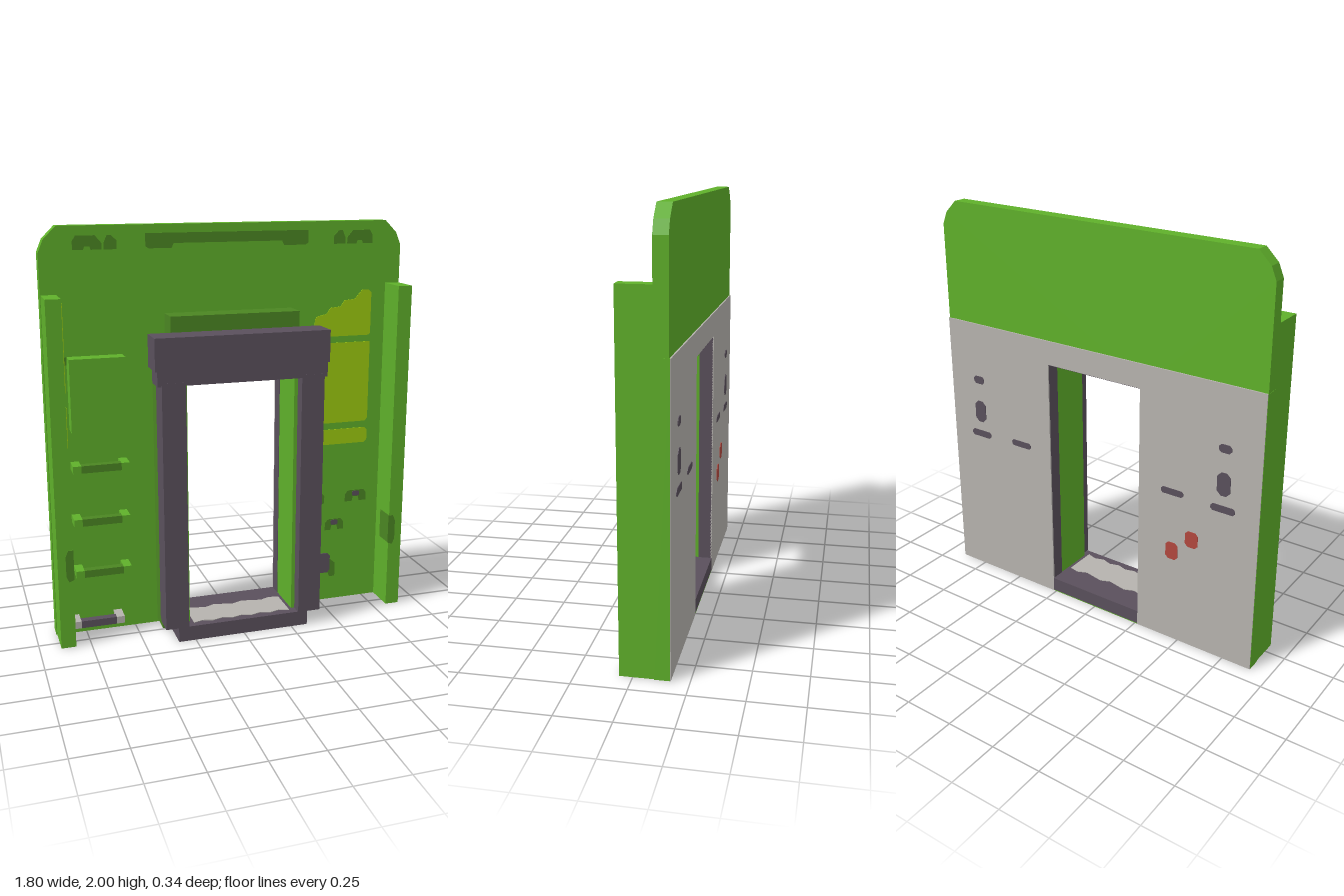
import * as THREE from 'three';

const mat = (name, color) => {
  const m = new THREE.MeshStandardMaterial({ color });
  m.name = name;
  return m;
};

export function createModel() {
  const root = new THREE.Group();
  root.name = 'doorwayWall';
  const green = mat('bright green', 0x5fb02a);
  const dark = mat('dark green', 0x4b8622);
  const slate = mat('slate purple', 0x5a505c);
  const grey = mat('light grey', 0xb6b3ae);
  const lime = mat('lime yellow', 0x9dcb10);
  const red = mat('red', 0xb2483e);

  const add = (name, geo, m) => {
    const mesh = new THREE.Mesh(geo, m);
    mesh.name = name;
    root.add(mesh);
    return mesh;
  };
  // box given by its limits on each axis
  const box = (name, m, x0, x1, y0, y1, z0, z1) =>
    add(name, new THREE.BoxGeometry(x1 - x0, y1 - y0, z1 - z0), m)
      .position.set((x0 + x1) / 2, (y0 + y1) / 2, (z0 + z1) / 2);
  // outline in x, y extruded from z0 to z1
  const slab = (name, m, pts, z0, z1) => {
    const shape = new THREE.Shape(pts.map(p => new THREE.Vector2(p[0], p[1])));
    add(name, new THREE.ExtrudeGeometry(shape, { depth: z1 - z0, bevelEnabled: false }), m).position.z = z0;
  };
  // rectangle outline with clipped corners
  const clipped = (x0, x1, y0, y1, c) => [
    [x0 + c, y0], [x1 - c, y0], [x1, y0 + c], [x1, y1 - c],
    [x1 - c, y1], [x0 + c, y1], [x0, y1 - c], [x0, y0 + c]];
  const FRONT = -0.095, BACK = -0.16;
  const decal = (name, m, pts, lift = 0) => slab(name, m, pts, FRONT - 0.001, FRONT + 0.003 + lift);
  const flip = pts => pts.map(([x, y]) => [-x, y]).reverse();

  // main wall with chamfered top corners and a door notch
  slab('wallPanel', green, [
    [0.285, 0], [0.9, 0], [0.9, 1.88], [0.875, 1.94], [0.815, 2],
    [-0.815, 2], [-0.875, 1.94], [-0.9, 1.88], [-0.9, 0], [-0.285, 0],
    [-0.285, 1.3], [0.285, 1.3]], BACK, FRONT);
  slab('backLining', grey, [
    [0.265, 0], [0.9, 0], [0.9, 1.4], [-0.9, 1.4], [-0.9, 0], [-0.265, 0],
    [-0.265, 1.28], [0.265, 1.28]], -0.167, BACK);
  box('wallFoot', green, -0.285, 0.285, 0, 0.004, -0.166, FRONT);

  for (const s of [-1, 1]) {
    const b = (name, m, a, c, ...r) => box(name, m, Math.min(s * a, s * c), Math.max(s * a, s * c), ...r);
    // side walls
    b('sideWall', green, 0.825, 0.897, 0, 1.69, FRONT, 0.06);
    b('sideWallBackEdge', green, 0.88, 0.901, 0, 1.4, -0.164, FRONT);
    const mark = [[0.82, 0.35], [0.845, 0.34], [0.858, 0.37], [0.858, 0.47], [0.845, 0.5], [0.82, 0.5]];
    slab('sideWallMark', dark, s > 0 ? mark : flip(mark), 0.058, 0.063);
    b('sideWallInnerMark', dark, 0.822, 0.826, 0.35, 0.5, -0.04, 0.062);
    // door jambs
    b('doorSurround', dark, 0.284, 0.385, 0.02, 1.33, FRONT, 0.03);
    b('jambLining', green, 0.267, 0.286, 0.075, 1.29, FRONT, 0.11);
    b('jambBackLining', slate, 0.265, 0.286, 0.004, 1.29, -0.166, FRONT);
    b('framePost', slate, 0.285, 0.4, 0.075, 1.3, 0.06, 0.167);
    b('framePostInner', slate, 0.285, 0.395, 0.075, 1.3, 0.025, 0.06);
    // back fittings
    const fit = (x, y, w, h) => slab('backFitting', slate,
      clipped(s * x - w / 2, s * x + w / 2, y - h / 2, y + h / 2, Math.min(w, h) * 0.3), -0.17, -0.166);
    fit(0.716, 1.1, 0.065, 0.04);
    fit(0.716, 0.925, 0.068, 0.115);
    fit(0.716, 0.8, 0.125, 0.035);
    fit(0.45, 0.808, 0.12, 0.032);
    // dark vents along the top
    const vents = [
      [[0.61, 1.89], [0.66, 1.89], [0.665, 1.905], [0.69, 1.905], [0.695, 1.89], [0.745, 1.89],
        [0.745, 1.93], [0.73, 1.955], [0.64, 1.955], [0.61, 1.92]],
      [[0.54, 1.89], [0.6, 1.89], [0.6, 1.92], [0.585, 1.955], [0.565, 1.955], [0.54, 1.93]]];
    for (const v of vents) decal('topVent', dark, s > 0 ? v : flip(v));
  }
  decal('topCentreVent', dark, [
    [-0.405, 1.9], [-0.39, 1.89], [-0.28, 1.89], [-0.27, 1.912], [0.27, 1.912], [0.28, 1.89],
    [0.39, 1.89], [0.405, 1.9], [0.405, 1.96], [-0.405, 1.96]]);

  // door head, lintel and sill
  box('surroundHead', dark, -0.32, 0.32, 1.3, 1.585, FRONT, 0.027);
  box('headLining', green, -0.285, 0.285, 1.28, 1.301, FRONT, 0.11);
  box('headBackLining', slate, -0.285, 0.285, 1.278, 1.301, -0.166, FRONT);
  box('lintelLower', slate, -0.42, 0.415, 1.285, 1.356, 0.06, 0.166);
  box('lintelCore', slate, -0.4, 0.4, 1.285, 1.356, 0.025, 0.06);
  box('lintelUpper', slate, -0.43, 0.425, 1.355, 1.51, 0.025, 0.167);
  box('sillBack', slate, -0.284, 0.284, 0.004, 0.075, -0.166, 0.03);
  box('sillFront', slate, -0.335, 0.335, 0, 0.075, 0.025, 0.162);

  // worn floor patch with a wavy edge
  const wave = [];
  for (let i = 0; i <= 10; i++) wave.push([-0.25 + i * 0.05, -0.13 + (i % 2) * 0.015]);
  for (let i = 10; i >= 0; i--) wave.push([-0.25 + i * 0.05, 0.045 - (i % 3) * 0.01]);
  const patch = new THREE.ExtrudeGeometry(
    new THREE.Shape(wave.map(p => new THREE.Vector2(p[0], p[1]))), { depth: 0.004, bevelEnabled: false });
  patch.rotateX(-Math.PI / 2);
  add('floorPatch', patch, grey).position.y = 0.074;

  // lime windows on the wall
  decal('upperWindow', lime, [
    [0.46, 1.43], [0.74, 1.43], [0.75, 1.44], [0.75, 1.645], [0.735, 1.66], [0.7, 1.66], [0.66, 1.615],
    [0.605, 1.61], [0.585, 1.58], [0.53, 1.575], [0.51, 1.545], [0.46, 1.535], [0.448, 1.52], [0.448, 1.44]]);
  decal('mainWindow', lime, [[0.46, 0.98], [0.735, 0.98], [0.75, 0.995], [0.75, 1.397], [0.448, 1.397], [0.448, 0.995]]);
  decal('lowerWindow', lime, clipped(0.448, 0.75, 0.865, 0.945, 0.014));
  // lime panels on the inside of the right side wall
  box('sideWindowUpper', lime, -0.826, -0.821, 1.26, 1.67, -0.06, 0.05);
  box('sideWindowLower', lime, -0.826, -0.821, 1.0, 1.19, -0.06, 0.05);

  // small hooks: dark shadow plate with slate centre
  for (const [x, y, w] of [[0.466, 0.575, 0.055], [0.698, 0.575, 0.06], [0.58, 0.425, 0.052]]) {
    decal('hookPlate', dark, [
      [x - w, y - 0.03], [x - 0.02, y - 0.03], [x - 0.015, y - 0.005], [x + 0.015, y - 0.005], [x + 0.02, y - 0.03],
      [x + w, y - 0.03], [x + w, y + 0.01], [x + w - 0.015, y + 0.03], [x - w + 0.015, y + 0.03], [x - w, y + 0.01]]);
    decal('hook', slate, clipped(x - 0.02, x + 0.02, y - 0.002, y + 0.025, 0.006), 0.003);
  }
  decal('boxPlate', dark, [
    [0.41, 0.13], [0.44, 0.13], [0.455, 0.155], [0.55, 0.155], [0.56, 0.13], [0.59, 0.13],
    [0.59, 0.205], [0.56, 0.23], [0.44, 0.23], [0.41, 0.205]]);
  decal('slateBox', slate, clipped(0.448, 0.56, 0.155, 0.265, 0.015), 0.003);

  // cabinet and ladder rungs
  box('cabinet', green, -0.792, -0.528, 1.05, 1.4, FRONT, -0.018);
  box('cabinetHinge', dark, -0.825, -0.79, 1.36, 1.4, FRONT - 0.001, FRONT + 0.004);
  const rung = (y, x0, x1, ends, bar) => {
    for (const [a, b] of [[x0, x0 + 0.04], [x1 - 0.04, x1]])
      box('rungEnd', ends, a, b, y - 0.018, y + 0.018, FRONT, -0.007);
    box('rungBar', bar, x0 + 0.04, x1 - 0.04, y - 0.018, y + 0.018, -0.045, -0.007);
  };
  rung(0.872, -0.795, -0.523, green, dark);
  rung(0.606, -0.8, -0.528, green, dark);
  rung(0.342, -0.8, -0.528, green, dark);
  rung(0.078, -0.825, -0.57, grey, slate);

  // red back markers
  slab('redMarkerLow', red, clipped(-0.488, -0.422, 0.45, 0.54, 0.015), -0.17, -0.166);
  slab('redMarkerHigh', red, clipped(-0.595, -0.527, 0.547, 0.63, 0.015), -0.17, -0.166);

  return root;
}
